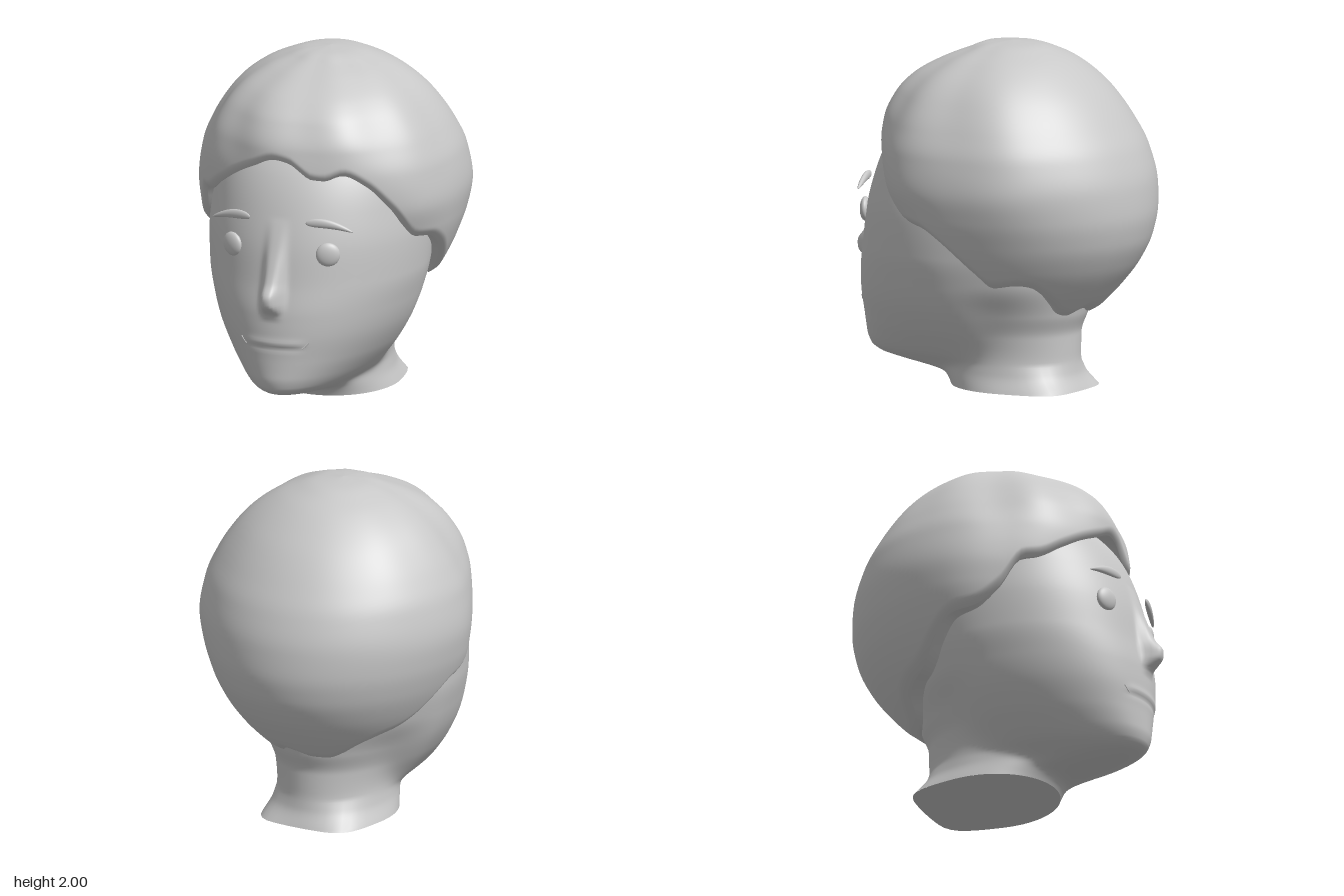
import * as THREE from 'three';

const grey = new THREE.MeshStandardMaterial({ color: 0xc8c8c8 });
grey.name = 'clay grey';

// Smooth lookup in rows of [key, a, b, ...]; returns [a, b, ...] at key t
function lookup(rows, t) {
  const n = rows.length - 1;
  t = Math.min(Math.max(t, rows[0][0]), rows[n][0]);
  let i = 0;
  while (i < n - 1 && t > rows[i + 1][0]) i++;
  const h = rows[i + 1][0] - rows[i][0], u = (t - rows[i][0]) / h;
  const step = (k, c) => (rows[k + 1][c] - rows[k][c]) / (rows[k + 1][0] - rows[k][0]);
  const slope = (k, c) => {
    if (k === 0) return step(0, c);
    if (k === n) return step(n - 1, c);
    const p = step(k - 1, c), q = step(k, c);
    return p * q <= 0 ? 0 : (2 * p * q) / (p + q);
  };
  return rows[i].slice(1).map((v, k) => {
    const c = k + 1, u2 = u * u, u3 = u2 * u;
    return v * (2 * u3 - 3 * u2 + 1) + rows[i + 1][c] * (3 * u2 - 2 * u3)
      + h * (slope(i, c) * (u3 - 2 * u2 + u) + slope(i + 1, c) * (u3 - u2));
  });
}

const bell = (t, width) => Math.exp(-((t / width) ** 2));

// Closed loops of points, stacked from row 0 upwards
function loft(rows, cols, point) {
  const pos = [], index = [];
  for (let i = 0; i <= rows; i++) {
    for (let j = 0; j < cols; j++) pos.push(...point(i / rows, -Math.PI + (2 * Math.PI * j) / cols));
  }
  for (let i = 0; i < rows; i++) {
    for (let j = 0; j < cols; j++) {
      const k = (j + 1) % cols, a = i * cols + j, b = i * cols + k;
      index.push(a, b, b + cols, a, b + cols, a + cols);
    }
  }
  const g = new THREE.BufferGeometry();
  g.setAttribute('position', new THREE.Float32BufferAttribute(pos, 3));
  g.setIndex(index);
  g.computeVertexNormals();
  return g;
}

function add(parent, name, geometry) {
  const m = new THREE.Mesh(geometry, grey);
  m.name = name;
  parent.add(m);
  return m;
}

// Face and skull: y, front z, half width, back z
const SKULL = [
  [0, 0.2, 0.18, 0], [0.06, 0.31, 0.2, 0], [0.085, 0.47, 0.21, -0.05], [0.11, 0.65, 0.23, -0.1],
  [0.14, 0.785, 0.27, -0.1], [0.18, 0.83, 0.325, -0.15], [0.25, 0.845, 0.39, -0.2],
  [0.35, 0.845, 0.465, -0.25], [0.5, 0.85, 0.545, -0.32], [0.62, 0.845, 0.585, -0.4],
  [0.8, 0.815, 0.625, -0.5], [1, 0.785, 0.635, -0.6], [1.2, 0.73, 0.615, -0.65],
  [1.4, 0.64, 0.57, -0.6], [1.6, 0.45, 0.45, -0.45], [1.75, 0.15, 0.05, 0.05],
];
// Neck: y, front z, half width, back z
const NECK = [
  [0, 0.26, 0.365, -0.56], [0.1, 0.3, 0.335, -0.52], [0.2, 0.3, 0.325, -0.51], [0.32, 0.3, 0.335, -0.51],
  [0.45, 0.3, 0.37, -0.55], [0.65, 0.3, 0.44, -0.58], [1, 0.3, 0.45, -0.58], [1.5, 0.2, 0.15, -0.1], [1.75, 0.12, 0.02, 0.08],
];
// Nose: y, height above the face
const NOSE = [[0.59, 0], [0.63, 0.015], [0.665, 0.06], [0.7, 0.098], [0.75, 0.112], [0.82, 0.075], [0.92, 0.045], [1.02, 0.022], [1.18, 0]];
const MID = 0.1;

function skin(phi, y) {
  const s = Math.sin(phi), c = Math.cos(phi);
  const [f, w, b] = lookup(SKULL, y), [nf, nw, nb] = lookup(NECK, y);
  const depth = Math.max(0.02, c > 0 ? f - MID : MID - b);
  const rSkull = 1 / Math.hypot(s / w, c / depth);
  const az = (nf - nb) / 2, e = (nf + nb) / 2 - MID;
  const A = (s / nw) ** 2 + (c / az) ** 2, B = (-e * c) / az ** 2, C = (e / az) ** 2 - 1;
  // the base of the neck flares into two corners at the back
  const flare = 1 + 0.1 * bell(Math.abs(phi) - 2.72, 0.22) * Math.max(0, 1 - y / 0.16);
  const rNeck = flare * (-B + Math.sqrt(Math.max(0, B * B - A * C))) / A;
  const r = (rSkull ** 8 + Math.max(0, rNeck) ** 8) ** (1 / 8);
  const x = r * s;
  let z = MID + r * c;
  if (c > 0) {
    z += lookup(NOSE, y)[0] * Math.exp(-(Math.abs(x / 0.06) ** 3.4));
    // crease between the lips
    z += Math.exp(-((x / 0.18) ** 8)) * (0.007 * bell(y - 0.46, 0.024) - 0.006 * bell(y - 0.432, 0.016));
  }
  return [x, y, z];
}

function faceZ(x, y) {
  const [f, w] = lookup(SKULL, y);
  return MID + (f - MID) * Math.sqrt(1 - (x / w) ** 2);
}

// Hair: y, front z, half width, back z
const HAIR = [
  [0.44, 0.4, 0.4, -0.58], [0.5, 0.42, 0.45, -0.64], [0.6, 0.44, 0.55, -0.735], [0.75, 0.47, 0.65, -0.85],
  [0.9, 0.52, 0.72, -0.92], [1.05, 0.58, 0.765, -0.945], [1.2, 0.64, 0.785, -0.935], [1.4, 0.67, 0.757, -0.875],
  [1.55, 0.655, 0.695, -0.79], [1.7, 0.585, 0.6, -0.68], [1.8, 0.485, 0.51, -0.58], [1.9, 0.3, 0.37, -0.45],
  [1.95, 0.17, 0.26, -0.35], [1.985, 0.08, 0.15, -0.25], [2, -0.08, 0, -0.08],
];
// Hairline: degrees round from the front, y
const HAIRLINE = [
  [-180, 0.48], [-172, 0.45], [-160, 0.445], [-150, 0.48], [-138, 0.56], [-127, 0.61], [-118, 0.64], [-110, 0.69], [-102, 0.77],
  [-90, 0.88], [-78, 0.91], [-66, 1.02], [-56, 1.19], [-48, 1.21], [-37, 1.29], [-25, 1.38], [-15, 1.44], [-4, 1.495],
  [3, 1.48], [9, 1.43], [14, 1.39], [19, 1.385], [28, 1.42], [39, 1.35], [50, 1.21], [64, 1.01], [75, 0.985],
  [84, 0.92], [101, 0.73], [110, 0.645], [124, 0.665], [131, 0.655], [138, 0.61], [147, 0.53], [154, 0.47], [163, 0.45], [172, 0.49], [180, 0.48],
];
// Uneven fullness: degrees round, amount
const FULLNESS = [[62, 0.035], [118, 0.03], [-65, -0.035]];
const CROWN = -0.08;

function hairPoint(v, phi) {
  const degrees = THREE.MathUtils.radToDeg(phi);
  const edge = lookup(HAIRLINE, degrees)[0];
  const tuck = v === 0;
  const y = edge + (2 - edge) * (1 - Math.cos(Math.PI * v)) / 2;
  const s = Math.sin(phi), c = Math.cos(phi);
  const [f, w, b] = lookup(HAIR, y);
  const depth = c > 0 ? f - CROWN : CROWN - b;
  let r = w < 1e-4 ? 0 : 1 / Math.hypot(s / w, c / Math.max(depth, 1e-4));
  // soft locks fanning from the crown, and a lip rolled in at the hairline
  const front = 0.5 + 0.5 * c;
  let full = 1 + 0.02 * front * Math.sin(9 * phi + 2 * y) * THREE.MathUtils.smoothstep(y, 1.3, 1.7);
  for (const [at, amount] of FULLNESS) full += amount * bell(degrees - at, 17) * THREE.MathUtils.smoothstep(y, 0.85, 1.25);
  r *= full;
  const d = Math.max(0, 1 - (y - edge) / 0.055);
  r -= 0.03 * d * d;
  if (tuck) r *= 0.86;
  return [r * s, tuck ? y + 0.01 : y, CROWN + r * c];
}

export function createModel() {
  const model = new THREE.Group();
  model.name = 'head bust';
  const face = new THREE.Group();
  face.name = 'face';
  face.position.x = 0.02;
  model.add(face);

  // Head and neck, with columns gathered towards the nose
  const gather = (u) => u - 0.65 * Math.sin(u);
  add(face, 'headAndNeck', loft(130, 128, (v, u) => skin(gather(u), 1.75 * v)));
  add(face, 'neckBase', loft(1, 96, (v, u) => {
    const [x, , z] = skin(u, 0);
    return [x * v, 0, -0.15 + (z + 0.15) * v];
  }));

  add(model, 'hair', loft(72, 160, hairPoint));

  for (const side of [-1, 1]) {
    const label = side > 0 ? 'left' : 'right';

    const eye = add(face, label + 'Eye', new THREE.SphereGeometry(1, 32, 20));
    eye.scale.set(0.07, 0.07, 0.03);
    eye.position.set(side * 0.297, 0.99, faceZ(0.297, 0.99) + 0.008);
    eye.rotation.y = side * 0.4;

    // Brow: gently arched, thicker towards the nose
    const g = new THREE.SphereGeometry(1, 32, 16);
    const p = g.attributes.position;
    for (let i = 0; i < p.count; i++) {
      const t = p.getX(i) * side;
      p.setXYZ(i, p.getX(i) * 0.138, p.getY(i) * 0.025 * (1 - 0.4 * t) - 0.02 * t * t - 0.022 * t, p.getZ(i) * 0.016);
    }
    g.computeVertexNormals();
    const brow = add(face, label + 'Eyebrow', g);
    brow.position.set(side * 0.305, 1.17, 0.714);
    brow.rotation.y = side * 0.27;

    // Small fold at the corner of the mouth
    const fold = [[0.172, 0.435], [0.188, 0.45], [0.208, 0.472]].map(([x, y]) => new THREE.Vector3(side * x, y, faceZ(x, y)));
    add(face, label + 'MouthCorner', new THREE.TubeGeometry(new THREE.CatmullRomCurve3(fold), 10, 0.004, 8));
  }
  return model;
}
